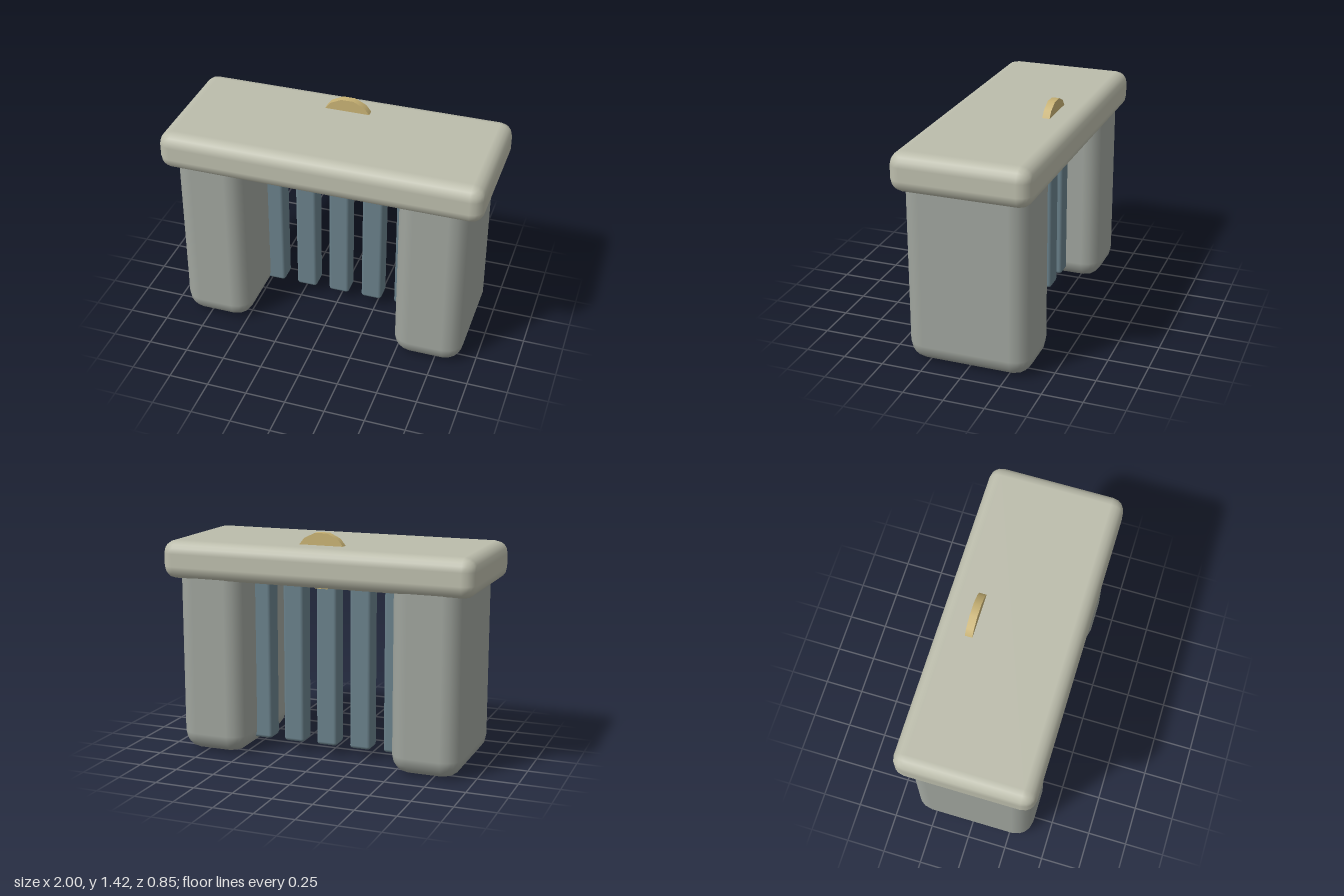
import * as THREE from 'three';
import { RoundedBoxGeometry } from 'three/addons/geometries/RoundedBoxGeometry.js';

const paint = (color) => new THREE.MeshStandardMaterial({ color });

export function createModel() {
  const model = new THREE.Group();
  const slabMat = paint(0xbcbdac);
  const pillarMat = paint(0x9fa49d);
  const barMat = paint(0x69808a);
  const discMat = paint(0xc8b274);

  // Rounded block given by its centre, size and corner radius
  const block = (name, material, [x, y, z], [w, h, d], radius) => {
    const mesh = new THREE.Mesh(new RoundedBoxGeometry(w, h, d, 2, radius), material);
    mesh.name = name;
    mesh.position.set(x, y, z);
    model.add(mesh);
  };

  // Thick lintel across the top
  block('lintel', slabMat, [0, 1.225, 0], [2, 0.24, 0.85], 0.08);

  // Pillars, running up into the lintel
  for (const [name, side] of [['leftPillar', 1], ['rightPillar', -1]]) {
    block(name, pillarMat, [side * 0.697, 0.615, 0], [0.44, 1.23, 0.77], 0.115);
  }

  // Row of upright bars between the pillars
  for (let i = -2; i <= 2; i++) {
    block(`gateBar${i + 3}`, barMat, [i * 0.222, 0.64, -0.1], [0.135, 1.15, 0.13], 0.02);
  }

  // Upright disc set through the lintel, with a flat side on top
  const discGeometry = new THREE.CylinderGeometry(0.174, 0.174, 0.046, 14, 1, false, Math.PI / 14);
  discGeometry.rotateX(Math.PI / 2);
  const disc = new THREE.Mesh(discGeometry, discMat);
  disc.name = 'disc';
  disc.position.set(0, 1.25, -0.222);
  model.add(disc);

  return model;
}
